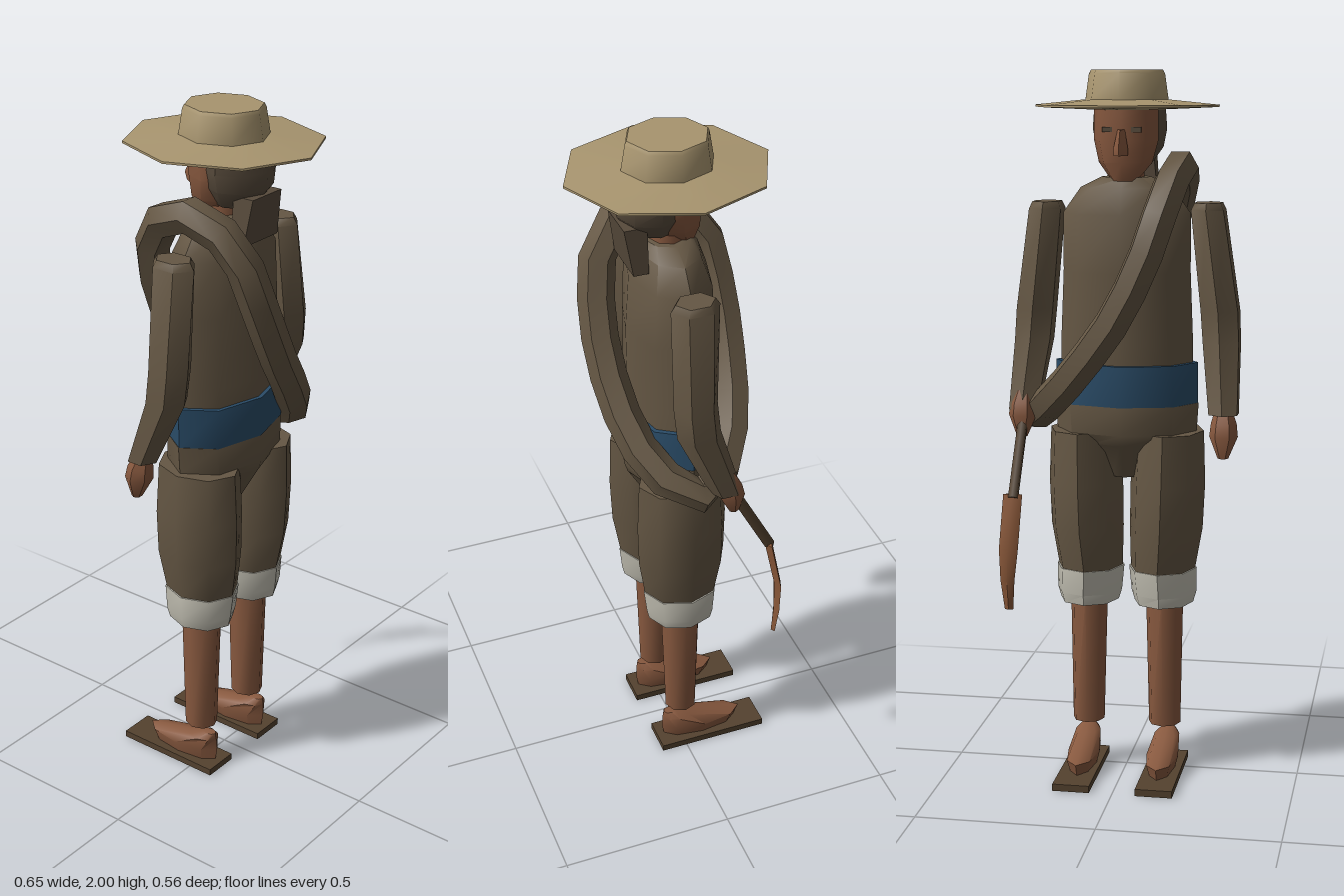
import * as THREE from 'three';
import { toCreasedNormals } from 'three/addons/utils/BufferGeometryUtils.js';

const material = (name, color) => new THREE.MeshStandardMaterial({ name, color });

// Closed solid through elliptical rings [y, centreX, centreZ, radiusX, radiusZ], listed bottom to top
function loft(rings, sides = 8, turn = 0) {
  const pos = [], index = [], last = rings.length - 1;
  for (const [y, cx, cz, rx, rz] of rings) {
    for (let i = 0; i < sides; i++) {
      const a = turn + (i / sides) * Math.PI * 2;
      pos.push(cx + Math.cos(a) * rx, y, cz + Math.sin(a) * rz);
    }
  }
  for (let r = 0; r < last; r++) {
    for (let i = 0; i < sides; i++) {
      const j = (i + 1) % sides, a = r * sides, b = a + sides;
      index.push(a + i, b + i, a + j, a + j, b + i, b + j);
    }
  }
  for (let i = 1; i < sides - 1; i++) {
    const t = last * sides;
    index.push(0, i, i + 1, t, t + i + 1, t + i);
  }
  const g = new THREE.BufferGeometry();
  g.setAttribute('position', new THREE.Float32BufferAttribute(pos, 3));
  g.setIndex(index);
  return toCreasedNormals(g, 0.85);
}

export function createModel() {
  const model = new THREE.Group();
  const cloth = material('brown cloth', 0x655744);
  const hairMat = material('dark hair', 0x584b3c);
  const skin = material('skin', 0x88593f);
  const straw = material('straw', 0xa8956f);
  const blue = material('blue sash', 0x2a4c68);
  const cream = material('cream cuff', 0xc4c1b4);
  const sole = material('dark wood', 0x54422f);
  const wood = material('reddish wood', 0x8a5839);

  const add = (name, geometry, mat) => {
    const mesh = new THREE.Mesh(geometry, mat);
    mesh.name = name;
    model.add(mesh);
    return mesh;
  };
  const box = (name, w, h, d, x, y, z, mat) =>
    add(name, new THREE.BoxGeometry(w, h, d), mat).position.set(x, y, z);

  // Torso, waist sash and seat
  add('torso', loft([
    [1.1, 0, 0, 0.19, 0.118], [1.25, 0, 0, 0.188, 0.118], [1.45, 0, 0, 0.18, 0.12],
    [1.61, 0, 0, 0.18, 0.11], [1.68, 0, 0, 0.13, 0.085], [1.71, 0, 0, 0.07, 0.065],
  ]), cloth);
  add('waistSash', loft([[1.08, 0, 0, 0.203, 0.13], [1.195, 0, 0, 0.203, 0.13]]), blue);
  add('seat', loft([
    [0.87, 0, 0, 0.05, 0.06], [0.97, 0, 0, 0.12, 0.12], [1.0, 0, 0, 0.2, 0.13], [1.08, 0, 0, 0.205, 0.128],
  ]), cloth);

  // Padded roll worn across the body
  const front = [[-0.13, 1.67, 0.13], [-0.085, 1.52, 0.173], [0, 1.34, 0.177], [0.11, 1.19, 0.15], [0.2, 1.09, 0.095]];
  const path = [[-0.15, 1.735, 0], ...front, [0.26, 1.04, 0], ...front.map(([x, y, z]) => [x, y, -z]).reverse()];
  const loop = new THREE.CatmullRomCurve3(path.map(p => new THREE.Vector3(...p)), true);
  add('shoulderRoll', toCreasedNormals(new THREE.TubeGeometry(loop, 18, 0.051, 6, true), 0.85), cloth);

  // Head, hair and face (the face looks toward -z)
  add('neck', loft([[1.64, 0, 0, 0.05, 0.05], [1.77, 0, 0, 0.05, 0.05]]), skin);
  add('head', loft([
    [1.7, 0, -0.04, 0.035, 0.035], [1.75, 0, -0.02, 0.075, 0.07],
    [1.81, 0, -0.01, 0.09, 0.085], [1.91, 0, -0.01, 0.09, 0.085],
  ]), skin);
  add('hair', loft([
    [1.74, 0, 0.04, 0.06, 0.06], [1.79, 0, 0.05, 0.095, 0.09],
    [1.84, 0, 0.05, 0.105, 0.092], [1.91, 0, 0.05, 0.1, 0.088],
  ]), hairMat);
  add('hairTail', loft([[1.65, 0, 0.1, 0.105, 0.03], [1.78, 0, 0.11, 0.088, 0.045]], 4, Math.PI / 4), hairMat);
  add('nose', loft([[1.77, 0, -0.1, 0.02, 0.028], [1.79, 0, -0.1, 0.02, 0.035], [1.84, 0, -0.09, 0.01, 0.02]], 4), skin);
  for (const s of [1, -1]) box('eye', 0.028, 0.014, 0.009, s * 0.04, 1.84, -0.082, hairMat);

  // Wide hat with a flat crown
  add('hat', loft([
    [1.893, 0, 0, 0.1, 0.11], [1.9, 0, 0, 0.257, 0.28], [1.906, 0, 0, 0.257, 0.28],
    [1.92, 0, 0, 0.116, 0.127], [1.99, 0, 0, 0.106, 0.115], [2, 0, 0, 0.1, 0.11],
  ]), straw);

  for (const s of [1, -1]) {
    // Sleeve and hand
    add('sleeve', loft([
      [1.06, s * 0.283, -0.06, 0.046, 0.045], [1.25, s * 0.268, 0.012, 0.058, 0.062],
      [1.34, s * 0.262, 0.02, 0.06, 0.062], [1.62, s * 0.228, 0.01, 0.052, 0.068],
      [1.64, s * 0.228, 0.01, 0.042, 0.055],
    ], 6, Math.PI / 6), cloth);
    const lift = s > 0 ? 0.045 : 0;
    add('hand', loft([
      [0.94 + lift, s * 0.285, -0.085, 0.015, 0.015], [1.0 + lift, s * 0.285, -0.075, 0.04, 0.04],
      [1.035 + lift, s * 0.285, -0.07, 0.036, 0.036], [1.07 + lift, s * 0.283, -0.06, 0.025, 0.025],
    ], 6), skin);

    // Trouser leg, cuff and shin
    add('trouserLeg', loft([
      [0.6, s * 0.105, 0, 0.093, 0.11], [0.72, s * 0.114, 0, 0.105, 0.13],
      [0.85, s * 0.118, 0.002, 0.107, 0.133], [1.0, s * 0.12, 0.005, 0.1, 0.125],
    ]), cloth);
    add('cuff', loft([
      [0.5, s * 0.108, 0, 0.085, 0.098], [0.53, s * 0.108, 0, 0.094, 0.105], [0.602, s * 0.105, 0, 0.098, 0.113],
    ]), cream);
    add('shin', loft([[0.135, s * 0.112, 0, 0.046, 0.048], [0.52, s * 0.11, 0.002, 0.054, 0.06]]), skin);

    // Foot on a flat sandal
    add('foot', loft([
      [0.018, s * 0.115, -0.06, 0.036, 0.115], [0.055, s * 0.115, -0.065, 0.046, 0.127],
      [0.095, s * 0.117, 0.015, 0.036, 0.045], [0.113, s * 0.118, 0.035, 0.015, 0.022],
    ]), skin);
    box('sandal', 0.105, 0.02, 0.33, s * 0.118, 0.01, -0.087, sole);
  }

  // Hand tool: slanted grip and curved flat blade
  const top = new THREE.Vector3(0.28, 1.06, -0.075), end = new THREE.Vector3(0.287, 0.83, -0.198);
  const grip = add('toolGrip', new THREE.CylinderGeometry(0.015, 0.015, top.distanceTo(end), 6), sole);
  grip.position.copy(top).add(end).multiplyScalar(0.5);
  grip.quaternion.setFromUnitVectors(new THREE.Vector3(0, 1, 0), top.clone().sub(end).normalize());
  add('toolBlade', loft([
    [0.515, 0.298, -0.215, 0.012, 0.007], [0.6, 0.3, -0.222, 0.02, 0.009],
    [0.69, 0.296, -0.223, 0.027, 0.01], [0.84, 0.289, -0.193, 0.027, 0.011],
  ], 4), wood);

  return model;
}
